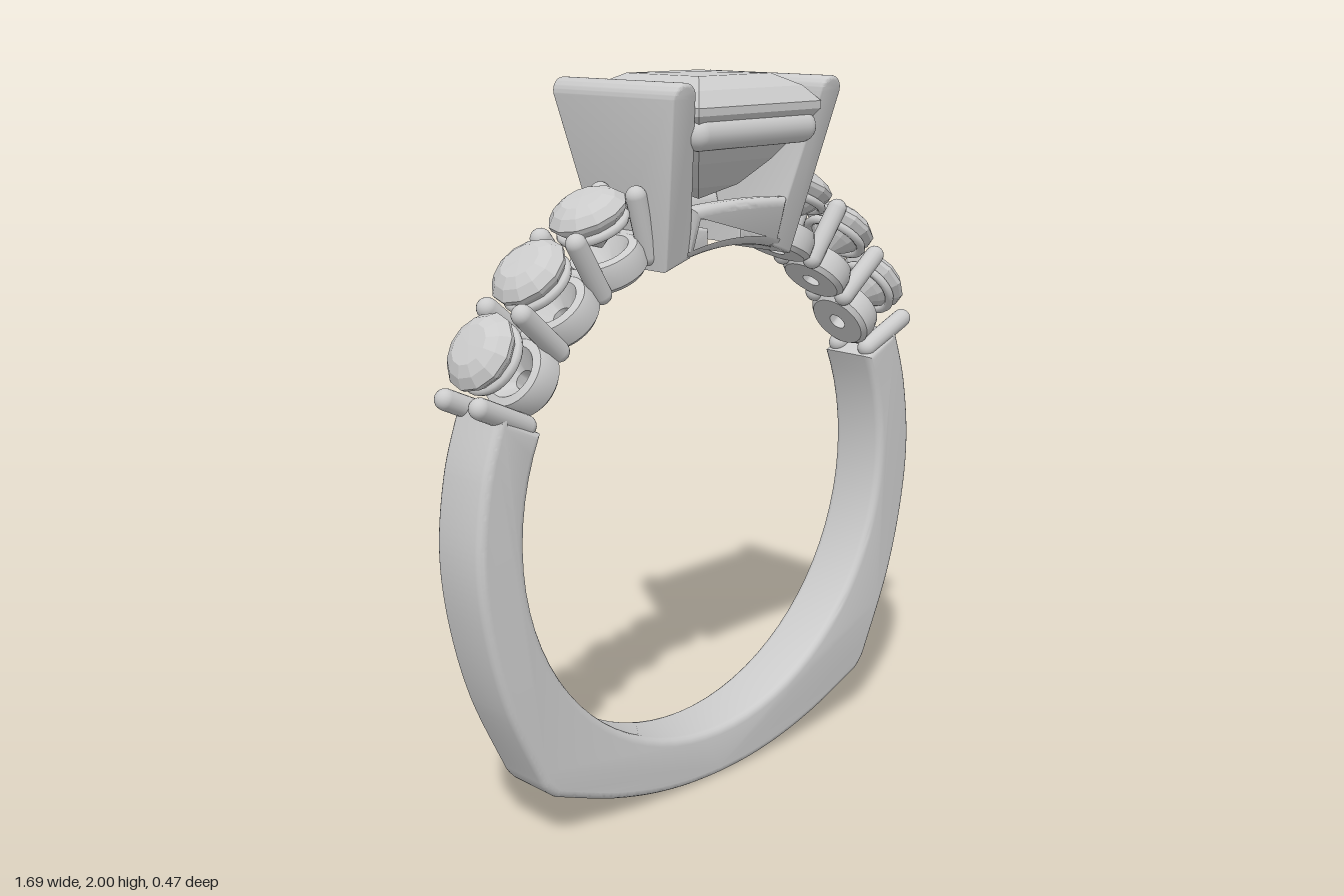
import * as THREE from 'three';
import { toCreasedNormals } from 'three/addons/utils/BufferGeometryUtils.js';

const CY = 0.85;   // height of the ring's centre
const R = 0.7;     // inner radius
const rad = THREE.MathUtils.degToRad;
const smooth = new THREE.MeshStandardMaterial({ color: 0xcccccc });
const faceted = new THREE.MeshStandardMaterial({ color: 0xcccccc, flatShading: true });
const v2 = ([x, y]) => new THREE.Vector2(x, y);

function add(parent, name, geometry, material = smooth) {
  const mesh = new THREE.Mesh(geometry, material);
  mesh.name = name;
  parent.add(mesh);
  return mesh;
}

// Extrusion centred on z = 0 with rounded edges kept inside the outline
function slab(shape, depth, bevel, shift = () => {}) {
  const geo = new THREE.ExtrudeGeometry(shape, {
    depth: depth - 2 * bevel, curveSegments: 24, bevelEnabled: true,
    bevelThickness: bevel, bevelSize: bevel, bevelOffset: -bevel, bevelSegments: 4,
  });
  geo.translate(0, 0, -(depth - 2 * bevel) / 2);
  const p = geo.attributes.position;
  const v = new THREE.Vector3();
  for (let i = 0; i < p.count; i++) {
    v.fromBufferAttribute(p, i);
    shift(v);
    p.setXYZ(i, v.x, v.y, v.z);
  }
  return toCreasedNormals(geo, 0.6);
}

// Group whose y axis points away from the ring's centre
function radialGroup(parent, name, degrees) {
  const group = new THREE.Group();
  const a = rad(degrees);
  group.name = name;
  group.position.set(0, CY, 0);
  group.rotation.z = a - Math.PI / 2;
  parent.add(group);
  return group;
}

// Band: round inside, shouldered base outside, open at the top
function bandGeometry() {
  const a = rad(25);
  const side = [[0.768, 1.21], [0.82, 1.05], [0.845, 0.85], [0.825, 0.65], [0.765, 0.43], [0.66, 0.2]];
  const base = [[0.61, 0.145], [0.4, 0.065], [0.2, 0.018], [0, 0.003], [-0.2, 0.018], [-0.4, 0.065], [-0.61, 0.145]];
  const s = new THREE.Shape();
  s.moveTo(R * Math.cos(a), CY + R * Math.sin(a));
  s.lineTo(...side[0]);
  s.splineThru(side.slice(1).map(v2));
  s.quadraticCurveTo(0.645, 0.168, ...base[0]);
  s.splineThru(base.slice(1).map(v2));
  s.quadraticCurveTo(-0.645, 0.168, -0.66, 0.2);
  s.splineThru(side.slice(0, 5).reverse().map(([x, y]) => v2([-x, y])));
  s.lineTo(-R * Math.cos(a), CY + R * Math.sin(a));
  s.absarc(0, CY, R, Math.PI - a, 2 * Math.PI + a, false);
  return slab(s, 0.18, 0.022);
}

// Round side stone with its collar and pierced cup
function addSideStone(parent, degrees) {
  const g = radialGroup(parent, 'sideSetting', degrees);
  const stone = [[0, 0.8], [0.06, 0.85], [0.104, 0.9], [0.106, 0.912], [0.085, 0.935], [0.056, 0.95], [0, 0.952]];
  add(g, 'sideStone', new THREE.LatheGeometry(stone.map(v2), 12), faceted);
  const cup = [[0.026, 0.712], [0.085, 0.712], [0.098, 0.725], [0.1, 0.765], [0.092, 0.79], [0.07, 0.795], [0.026, 0.745], [0.026, 0.712]];
  add(g, 'stoneCup', toCreasedNormals(new THREE.LatheGeometry(cup.map(v2), 32), 0.6));
  const collar = add(g, 'stoneCollar', new THREE.TorusGeometry(0.086, 0.013, 8, 32));
  collar.rotation.x = Math.PI / 2;
  collar.position.y = 0.868;
}

// Pair of round-tipped prongs joined by a cross bar
function addProngs(parent, degrees) {
  const g = radialGroup(parent, 'prongPair', degrees);
  for (const s of [-1, 1]) {
    const prong = add(g, 'prong', new THREE.CapsuleGeometry(0.028, 0.165, 6, 16));
    prong.position.set(0, 0.818, s * 0.062);
    prong.rotation.x = s * 0.07;
  }
  const bar = add(g, 'prongBar', new THREE.CylinderGeometry(0.024, 0.024, 0.12, 12));
  bar.rotation.x = Math.PI / 2;
  bar.position.y = 0.775;
}

// Flared side wall of the centre setting, wider towards the top
function wallGeometry() {
  const s = new THREE.Shape();
  s.moveTo(0.155, 1.535);
  s.lineTo(0.24, 1.505);
  s.lineTo(0.315, 1.945);
  s.absarc(0.274, 1.948, 0.041, 0, Math.PI, false);
  s.lineTo(0.155, 1.535);
  return slab(s, 0.47, 0.012, (v) => {
    v.z *= THREE.MathUtils.mapLinear(v.y, 1.52, 1.98, 0.125, 0.235) / 0.235;
  });
}

// Bridge block between the walls, arched along the finger hole
function arch(x0, x1, top) {
  const s = new THREE.Shape();
  const a = (x) => Math.acos(x / R);
  s.moveTo(x0, top);
  s.lineTo(x0, CY + R * Math.sin(a(x0)));
  s.absarc(0, CY, R, a(x0), a(x1), true);
  s.lineTo(x1, top);
  s.quadraticCurveTo((x0 + x1) / 2, top + 0.015, x0, top);
  return s;
}

function addCentreSetting(parent) {
  const g = new THREE.Group();
  g.name = 'centreSetting';
  parent.add(g);
  for (const s of [-1, 1]) {
    const wall = add(g, 'settingWall', wallGeometry());
    if (s < 0) wall.rotation.y = Math.PI;

    const rail = add(g, 'upperRail', new THREE.CapsuleGeometry(0.043, 0.385, 8, 20));
    rail.rotation.z = Math.PI / 2;
    rail.position.set(0, 1.858, s * 0.19);

    // lower rail leans outward with the walls
    const lower = slab(arch(-0.18, 0.18, 1.668), 0.075, 0.025, (v) => {
      v.z += s * (0.1 + (v.y - 1.55) * 0.28);
    });
    add(g, 'lowerRail', lower);

    const sill = slab(arch(0.06, 0.19, 1.6), 0.2, 0.01);
    const sillMesh = add(g, 'sideSill', sill);
    if (s < 0) sillMesh.rotation.y = Math.PI;
  }

  // Square-cut stone: pyramid-like pavilion, thin girdle, stepped crown
  const cut = [[0, 1.665], [0.075, 1.705], [0.14, 1.775], [0.215, 1.885], [0.23, 1.905],
    [0.23, 1.925], [0.195, 1.965], [0.135, 1.997], [0, 2]];
  const profile = cut.map(([x, y]) => new THREE.Vector2(x * Math.SQRT2, y));
  add(g, 'centreStone', new THREE.LatheGeometry(profile, 4, Math.PI / 4), faceted);
}

export function createModel() {
  const ring = new THREE.Group();
  ring.name = 'ring';
  add(ring, 'band', bandGeometry());
  for (const mirror of [false, true]) {
    const place = (d) => (mirror ? 180 - d : d);
    for (const d of [34, 49, 64]) addSideStone(ring, place(d));
    for (const d of [25.5, 41.5, 56.5, 71]) addProngs(ring, place(d));
  }
  addCentreSetting(ring);
  return ring;
}
